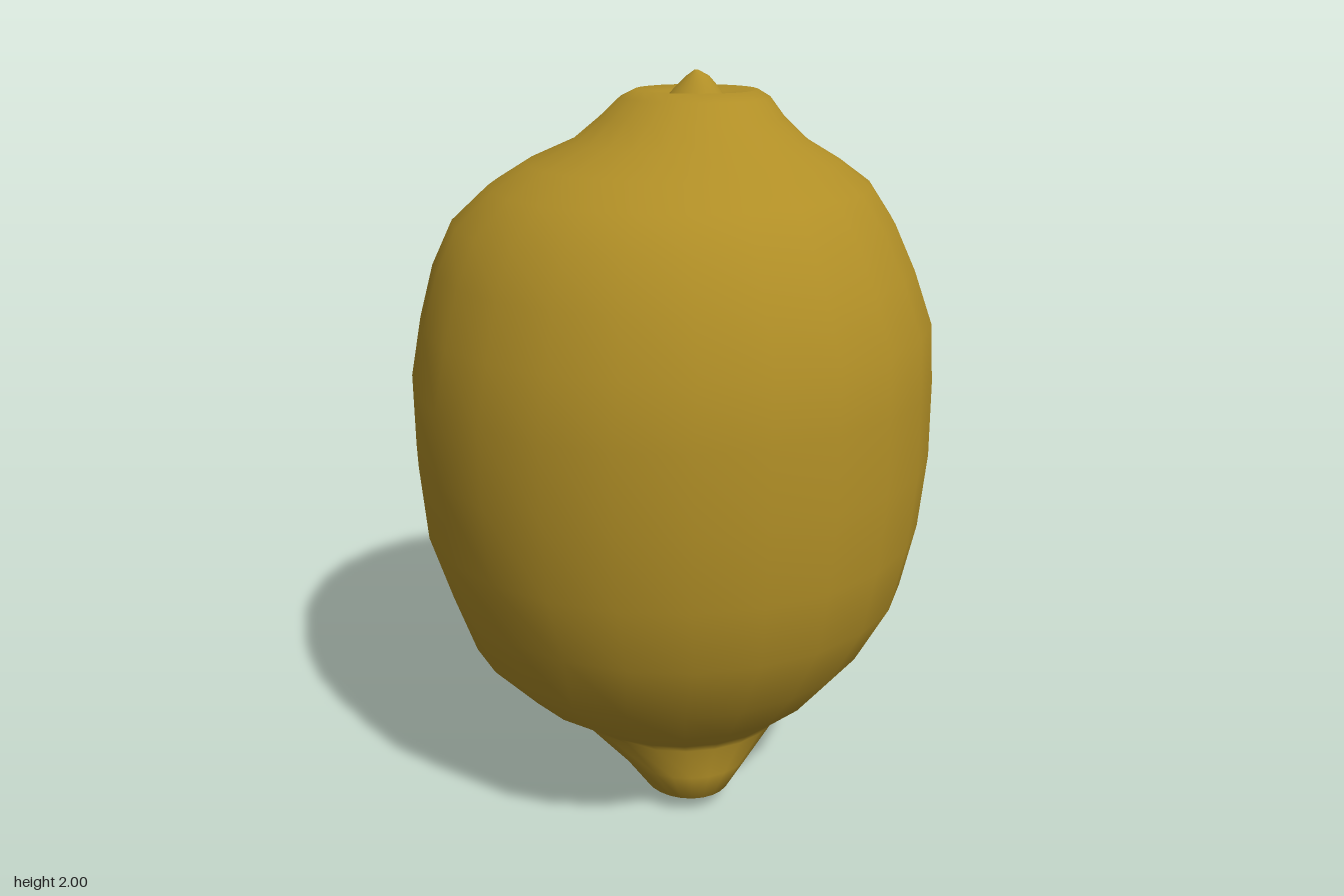
import * as THREE from 'three';

const SEGMENTS = 24;

// Smooth closed skin over horizontal oval rings: [y, xMin, xMax, zMin, zMax], from bottom to top
function loft(rings) {
  const positions = [], index = [];
  rings.forEach(([y, x0, x1, z0, z1]) => {
    for (let j = 0; j < SEGMENTS; j++) {
      const a = (j / SEGMENTS) * Math.PI * 2;
      positions.push(
        (x0 + x1) / 2 + ((x1 - x0) / 2) * Math.cos(a),
        y,
        (z0 + z1) / 2 - ((z1 - z0) / 2) * Math.sin(a)
      );
    }
  });
  for (let i = 0; i < rings.length - 1; i++) {
    for (let j = 0; j < SEGMENTS; j++) {
      const k = (j + 1) % SEGMENTS;
      const a = i * SEGMENTS + j, b = i * SEGMENTS + k;
      index.push(a, b, a + SEGMENTS, b, b + SEGMENTS, a + SEGMENTS);
    }
  }
  const geometry = new THREE.BufferGeometry();
  geometry.setAttribute('position', new THREE.Float32BufferAttribute(positions, 3));
  geometry.setIndex(index);
  geometry.computeVertexNormals();
  return geometry;
}

export function createModel() {
  const group = new THREE.Group();
  group.name = 'lemon';
  const peel = new THREE.MeshStandardMaterial({ color: 0xb08e26 });
  peel.name = 'lemon peel';

  const add = (name, rings) => {
    const mesh = new THREE.Mesh(loft(rings), peel);
    mesh.name = name;
    group.add(mesh);
  };

  // Fruit: off-centre nipple at the bottom, round belly, narrow collar at the top
  add('fruit', [
    [0.00, 0.165, 0.175, 0.145, 0.155],
    [0.015, 0.12, 0.23, 0.09, 0.21],
    [0.05, 0.05, 0.30, 0.03, 0.26],
    [0.13, -0.06, 0.335, -0.07, 0.30],
    [0.21, -0.29, 0.355, -0.25, 0.335],
    [0.24, -0.345, 0.38, -0.31, 0.37],
    [0.32, -0.43, 0.47, -0.43, 0.48],
    [0.46, -0.54, 0.585, -0.52, 0.61],
    [0.62, -0.62, 0.665, -0.61, 0.66],
    [0.80, -0.68, 0.70, -0.665, 0.71],
    [1.00, -0.715, 0.71, -0.70, 0.715],
    [1.20, -0.715, 0.705, -0.705, 0.715],
    [1.36, -0.695, 0.69, -0.695, 0.68],
    [1.50, -0.665, 0.635, -0.655, 0.63],
    [1.62, -0.605, 0.575, -0.605, 0.575],
    [1.71, -0.51, 0.50, -0.55, 0.485],
    [1.77, -0.42, 0.41, -0.47, 0.38],
    [1.82, -0.32, 0.31, -0.39, 0.25],
    [1.88, -0.26, 0.235, -0.335, 0.16],
    [1.93, -0.215, 0.19, -0.30, 0.10],
    [1.95, -0.175, 0.155, -0.265, 0.06],
    [1.94, -0.12, 0.11, -0.20, 0.01],
    [1.93, -0.01, 0.00, -0.10, -0.09]
  ]);

  // Small stem scar on the collar
  add('stemKnob', [
    [1.92, -0.09, 0.085, -0.175, -0.005],
    [1.955, -0.06, 0.06, -0.15, -0.035],
    [1.985, -0.025, 0.035, -0.12, -0.06],
    [2.00, -0.005, 0.005, -0.095, -0.085]
  ]);

  return group;
}
